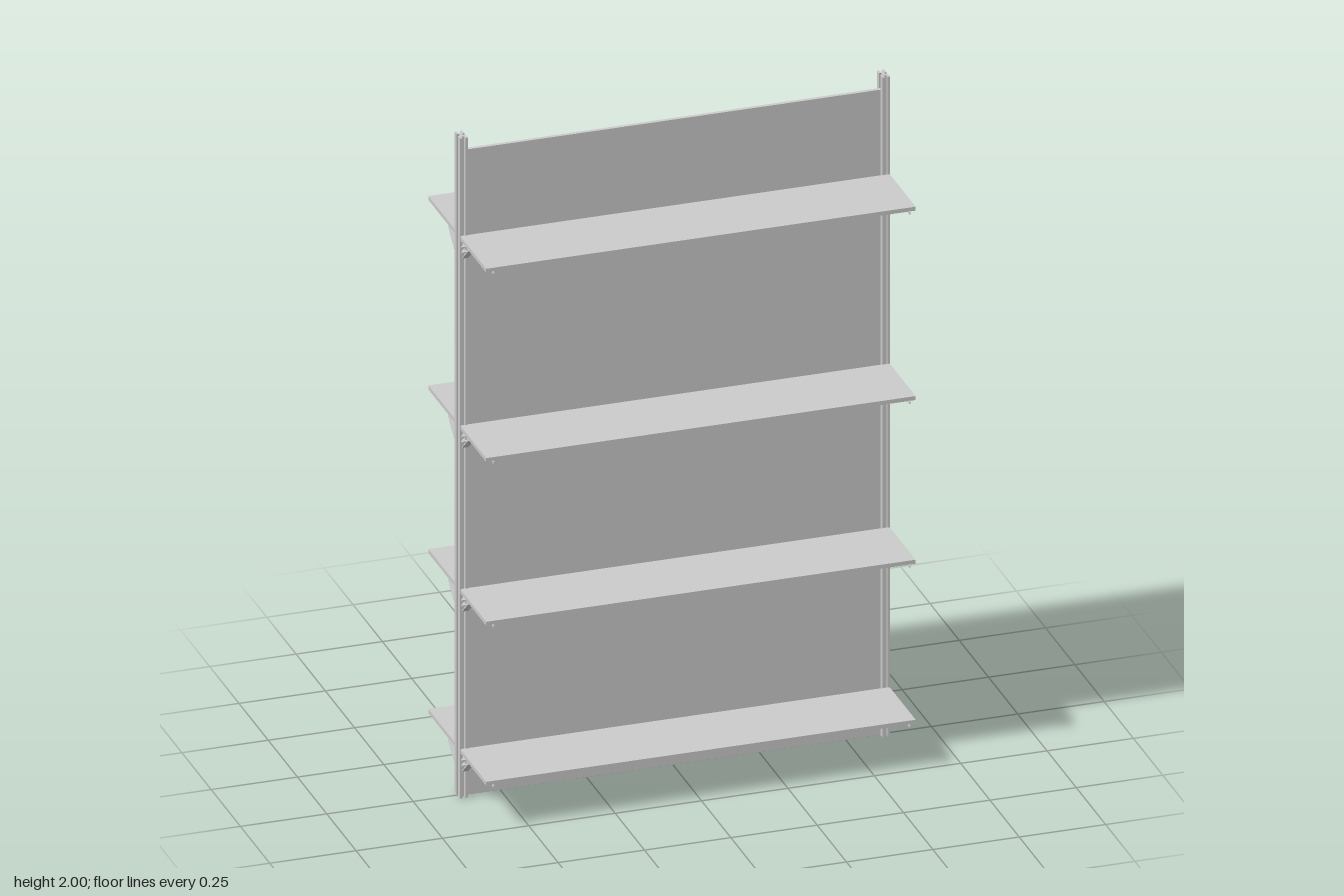
import * as THREE from 'three';

const grey = new THREE.MeshStandardMaterial({ color: 0xcccccc, flatShading: true });

function box(name, w, h, d, x, y, z) {
  const mesh = new THREE.Mesh(new THREE.BoxGeometry(w, h, d), grey);
  mesh.name = name;
  mesh.position.set(x, y, z);
  return mesh;
}

function extrude(name, points, depth) {
  const shape = new THREE.Shape(points.map(([x, y]) => new THREE.Vector2(x, y)));
  const mesh = new THREE.Mesh(new THREE.ExtrudeGeometry(shape, { depth, bevelEnabled: false }), grey);
  mesh.name = name;
  return mesh;
}

// Upright rail with a groove in each of its four faces
function makePost(x) {
  const w = 0.011, d = 0.024, s = 0.004, g = 0.006;
  const quarter = [[w, g], [w, d], [s, d], [s, 0.013]];
  const right = [[0.004, g], ...quarter];
  const left = right.map(([px, pz]) => [-px, pz]).reverse();
  const half = [...right, ...left];
  const post = extrude('post', [...half, ...half.map(([px, pz]) => [-px, -pz])], 2);
  post.rotation.x = -Math.PI / 2;
  post.position.x = x;
  return post;
}

// Cantilever arm, triangular gusset and folded diagonal flange
function makeBracket(x, topY, shelfZ) {
  const bracket = new THREE.Group();
  bracket.name = 'shelfBracket';
  const profile = [
    [0.012, -0.05], [0.033, -0.05], [0.085, -0.005], [0.254, -0.005],
    [0.254, 0.002], [0.022, 0.002], [0.012, -0.012],
  ];
  const plate = extrude('bracketPlate', profile, 0.003);
  plate.rotation.y = -Math.PI / 2;
  plate.position.x = Math.sign(x) * 0.602 + 0.0015;
  bracket.add(plate);

  const flange = box('bracketFlange', 0.018, 0.003, 0.068, x, -0.028, 0.059);
  flange.rotation.x = -Math.atan2(0.045, 0.052);
  bracket.add(flange);

  // Hooks engaging the slot of the post
  for (const y of [-0.02, -0.036]) bracket.add(box('bracketHook', 0.016, 0.004, 0.02, x, y, 0.022));
  bracket.position.y = topY;
  if (shelfZ < 0) bracket.rotation.y = Math.PI;
  return bracket;
}

export function createModel() {
  const model = new THREE.Group();
  model.name = 'doubleSidedShelving';

  // Central divider panel between the posts
  model.add(box('backPanel', 1.212, 1.955, 0.011, 0, 0.9775, 0));
  for (const x of [-0.611, 0.611]) model.add(makePost(x));

  // Shelves on both faces at four heights
  for (const y of [0.137, 0.622, 1.118, 1.692]) {
    for (const side of [1, -1]) {
      model.add(box('shelf', 1.243, 0.012, 0.222, 0, y + 0.006, side * 0.136 - 0.0025));
      for (const x of [-0.611, 0.611]) model.add(makeBracket(x, y, side));
    }
  }
  return model;
}
